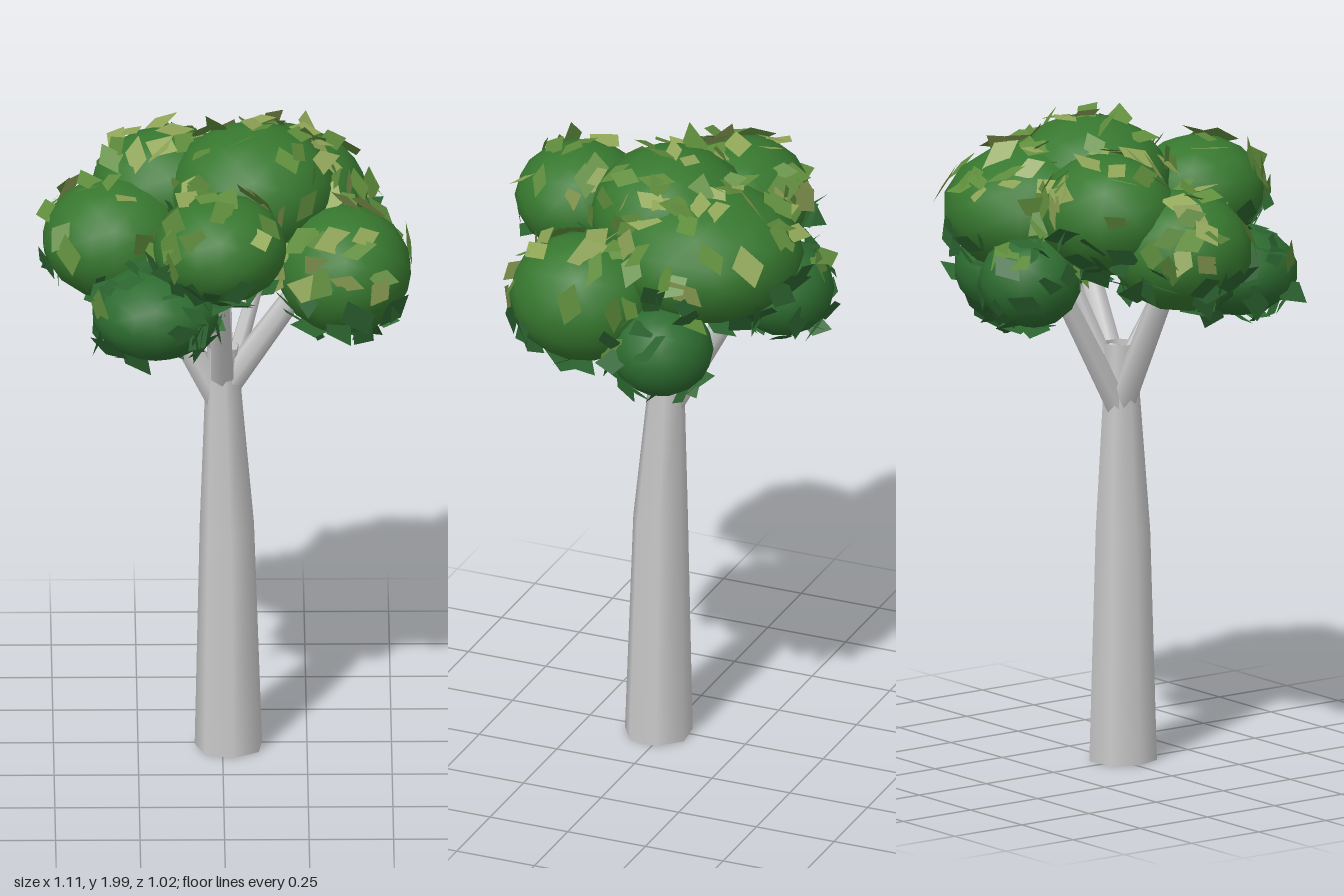
import * as THREE from 'three';
import { mergeGeometries } from 'three/addons/utils/BufferGeometryUtils.js';

// Small seeded random generator
function seeded(seed) {
  return () => {
    seed = (seed * 1664525 + 1013904223) % 4294967296;
    return seed / 4294967296;
  };
}

const V = (x, y, z) => new THREE.Vector3(x, y, z);

// Foliage clumps: centre and radii
const CLUMPS = [
  { name: 'frontClump', c: V(-0.01, 1.7, 0.28), r: V(0.2, 0.16, 0.2) },
  { name: 'leftClump', c: V(0.36, 1.565, 0.12), r: V(0.2, 0.19, 0.22) },
  { name: 'leftLowClump', c: V(0.375, 1.45, -0.14), r: V(0.155, 0.14, 0.155), low: true },
  { name: 'rightClump', c: V(-0.32, 1.61, -0.02), r: V(0.215, 0.18, 0.21) },
  { name: 'frontLowClump', c: V(-0.2, 1.49, 0.27), r: V(0.19, 0.135, 0.19), low: true },
  { name: 'crownClump', c: V(0.15, 1.68, -0.18), r: V(0.285, 0.2, 0.3) },
  { name: 'summitClump', c: V(0.09, 1.75, -0.05), r: V(0.25, 0.2, 0.24) },
  { name: 'backRightClump', c: V(-0.16, 1.71, -0.17), r: V(0.23, 0.18, 0.2) },
  { name: 'backLowClump', c: V(-0.03, 1.51, -0.36), r: V(0.155, 0.14, 0.15), low: true },
  { name: 'middleClump', c: V(-0.04, 1.61, 0.06), r: V(0.22, 0.12, 0.2) },
];

// Trunk rings: height, centre x, centre z, radius
const RINGS = [
  [0, 0.02, 0.022, 0.103],
  [0.7, 0.015, 0.018, 0.083],
  [1.1, 0.004, 0.005, 0.057],
  [1.27, 0.002, 0.0, 0.048],
];

// Trunk: an open seven-sided tube whose rows follow the rings, leaning slightly
function trunkGeometry() {
  const g = new THREE.CylinderGeometry(1, 1, 3, 7, 3, true, -Math.PI / 4);
  const p = g.attributes.position;
  for (let i = 0; i < p.count; i++) {
    const [y, cx, cz, r] = RINGS[Math.round(p.getY(i) + 1.5)];
    p.setXYZ(i, cx + p.getX(i) * r, y, cz + p.getZ(i) * r);
  }
  return g;
}

// Tapered branch between two points
function branch(a, b, r0, r1, material) {
  const dir = b.clone().sub(a);
  const m = new THREE.Mesh(new THREE.CylinderGeometry(r1, r0, dir.length(), 6), material);
  m.position.copy(a).add(b).multiplyScalar(0.5);
  m.quaternion.setFromUnitVectors(V(0, 1, 0), dir.normalize());
  m.name = 'branch';
  return m;
}

// Diamond-shaped leaf, facing +z
function leafGeometry(l, w) {
  const s = new THREE.Shape([
    new THREE.Vector2(0, -l / 2), new THREE.Vector2(w / 2, -0.08 * l),
    new THREE.Vector2(0, l / 2), new THREE.Vector2(-w / 2, 0.08 * l),
  ]);
  return new THREE.ShapeGeometry(s);
}

const insideOther = (p, own) => CLUMPS.some((k) =>
  k !== own && p.clone().sub(k.c).divide(k.r).length() < 0.97);

export function createModel() {
  const tree = new THREE.Group();
  tree.name = 'tree';
  const wood = new THREE.MeshStandardMaterial({ color: 0xcccccc, side: THREE.DoubleSide });
  const green = new THREE.MeshStandardMaterial({ color: 0x37782f });
  const darkGreen = new THREE.MeshStandardMaterial({ color: 0x2d6c30 });
  const leafMaterials = [0x90a557, 0x5f8c3c, 0x2c6430].map((color) =>
    new THREE.MeshStandardMaterial({ color, side: THREE.DoubleSide }));

  // Trunk and branches
  const trunk = new THREE.Mesh(trunkGeometry(), wood);
  trunk.name = 'trunk';
  tree.add(trunk);
  const branches = new THREE.Group();
  branches.name = 'branches';
  [
    [V(0, 1.08, 0), V(-0.22, 1.5, 0.01), 0.042, 0.034],
    [V(0, 1.15, 0), V(-0.01, 1.57, 0.26), 0.04, 0.028],
    [V(0.01, 1.14, 0), V(0.25, 1.51, 0.05), 0.042, 0.032],
    [V(0, 1.06, 0), V(0, 1.5, -0.25), 0.04, 0.028],
    [V(0.02, 1.15, -0.01), V(0.14, 1.56, -0.13), 0.03, 0.02],
  ].forEach((b) => branches.add(branch(...b, wood)));
  tree.add(branches);

  // Foliage clumps
  const ball = new THREE.IcosahedronGeometry(1, 2);
  const foliage = new THREE.Group();
  foliage.name = 'foliage';
  for (const k of CLUMPS) {
    const m = new THREE.Mesh(ball, k.low ? darkGreen : green);
    m.position.copy(k.c);
    m.scale.copy(k.r);
    m.name = k.name;
    foliage.add(m);
  }
  tree.add(foliage);

  // Loose leaves scattered over the exposed clump surfaces
  const rnd = seeded(11);
  const sets = [[], [], []];
  const pose = new THREE.Object3D();
  for (const k of CLUMPS) {
    const count = Math.round(1300 * k.r.x * k.r.z);
    for (let i = 0; i < count; i++) {
      const h = 2 * rnd() - 1, a = rnd() * Math.PI * 2, q = Math.sqrt(1 - h * h);
      const n = V(q * Math.cos(a), h, q * Math.sin(a));
      const tilt = V(rnd() - 0.5, rnd() - 0.5, rnd() - 0.5).multiplyScalar(1.3);
      const spin = rnd() * Math.PI * 2, len = 0.095 + rnd() * 0.045, wide = 0.58 + rnd() * 0.15;
      const shade = rnd();
      const p = n.clone().multiply(k.r).multiplyScalar(1.03).add(k.c);
      if (insideOther(p, k)) continue;
      pose.position.copy(p);
      pose.lookAt(p.clone().add(n.clone().divide(k.r).normalize()).add(tilt));
      pose.rotateZ(spin);
      pose.updateMatrix();
      const tone = h < -0.1 || (k.low && shade < 0.6) ? 2 : shade < 0.4 ? 0 : 1;
      sets[tone].push(leafGeometry(len, len * wide).applyMatrix4(pose.matrix));
    }
  }
  ['paleLeaves', 'midLeaves', 'darkLeaves'].forEach((name, i) => {
    const m = new THREE.Mesh(mergeGeometries(sets[i]), leafMaterials[i]);
    m.name = name;
    tree.add(m);
  });
  return tree;
}
